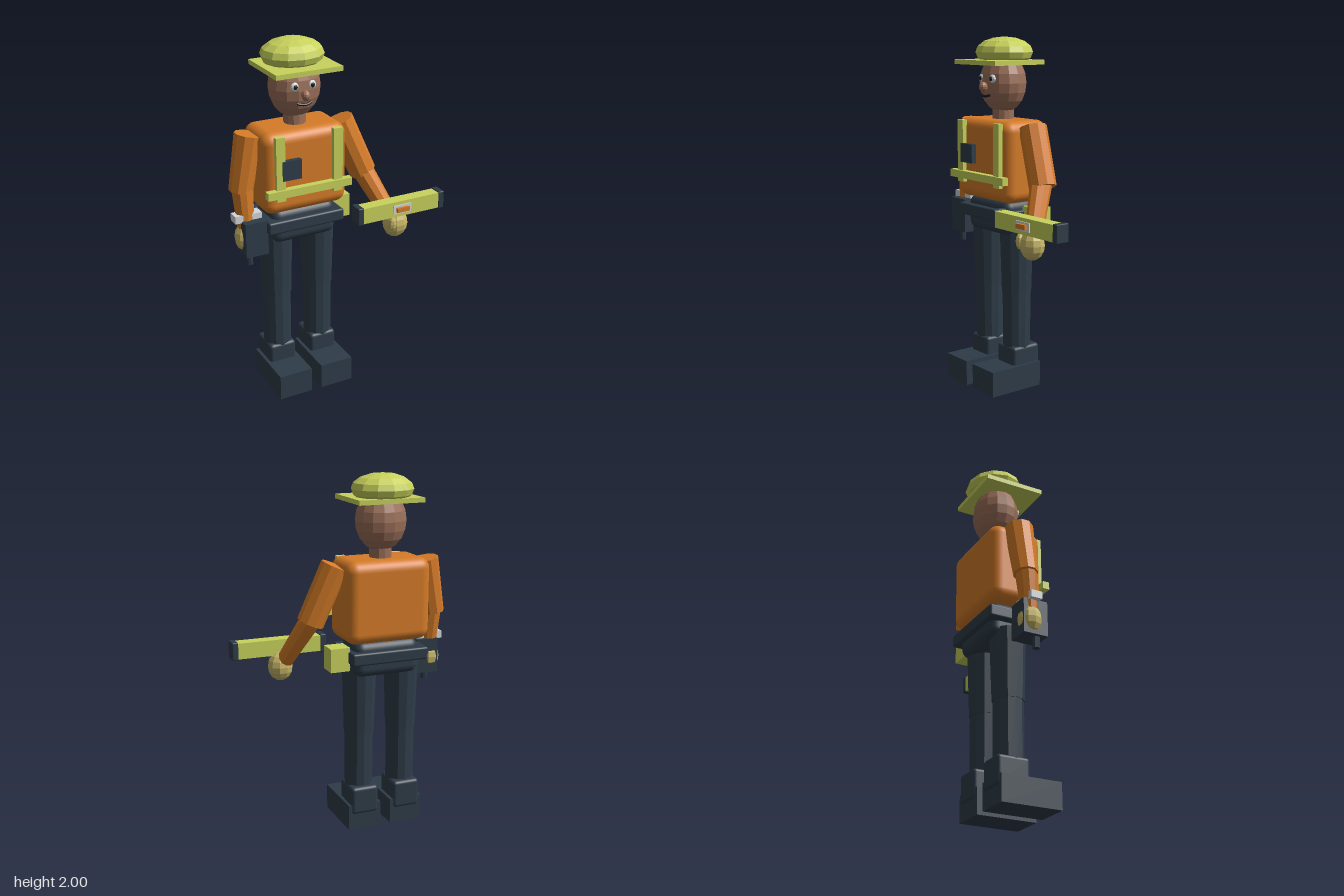
import * as THREE from 'three';
import { RoundedBoxGeometry } from 'three/addons/geometries/RoundedBoxGeometry.js';

export function createModel() {
  const model = new THREE.Group();
  model.name = 'builder';

  const material = (name, color, flatShading = true) => {
    const m = new THREE.MeshStandardMaterial({ color, flatShading });
    m.name = name;
    return m;
  };
  const orange = material('orange', 0xd67c28);
  const lime = material('lime', 0xc8d25c);
  const navy = material('navy', 0x2e3c48);
  const skin = material('skin', 0x9c705a);
  const glove = material('glove', 0xc8b768);
  const pale = material('paleGrey', 0xd4d8da);
  const black = material('black', 0x181c20);
  // Same orange and navy without facets would shift rounded boxes only slightly,
  // so rounded parts keep their own fine segments instead.

  const add = (name, geometry, mat, x = 0, y = 0, z = 0) => {
    const mesh = new THREE.Mesh(geometry, mat);
    mesh.name = name;
    mesh.position.set(x, y, z);
    model.add(mesh);
    return mesh;
  };

  // Box given by its [min, max] along each axis, optionally rounded
  const box = (name, mat, [x0, x1], [y0, y1], [z0, z1], radius = 0) => {
    const size = [x1 - x0, y1 - y0, z1 - z0];
    const geometry = radius
      ? new RoundedBoxGeometry(...size, 4, radius)
      : new THREE.BoxGeometry(...size);
    return add(name, geometry, mat, (x0 + x1) / 2, (y0 + y1) / 2, (z0 + z1) / 2);
  };

  const ball = (name, mat, [x, y, z], [rx, ry, rz], sides = 12, rows = 8) =>
    add(name, new THREE.SphereGeometry(1, sides, rows).scale(rx, ry, rz), mat, x, y, z);

  // Tapered limb from point a to point b
  const limb = (name, mat, a, b, ra, rb, sides = 10) => {
    const start = new THREE.Vector3(...a);
    const end = new THREE.Vector3(...b);
    const axis = start.clone().sub(end);
    const mesh = add(name, new THREE.CylinderGeometry(ra, rb, axis.length(), sides), mat);
    mesh.position.copy(start).add(end).multiplyScalar(0.5);
    mesh.quaternion.setFromUnitVectors(new THREE.Vector3(0, 1, 0), axis.normalize());
    return mesh;
  };

  const cx = -0.2; // body centre line
  const cz = -0.065;

  // Legs and boots
  for (const [side, x] of [['right', -0.333], ['left', -0.077]]) {
    limb(side + 'Thigh', navy, [x, 0.95, cz], [x, 0.56, cz], 0.097, 0.085, 12);
    limb(side + 'Shin', navy, [x, 0.6, cz], [x, 0.15, cz], 0.081, 0.079, 12);
    box(side + 'BootCuff', navy, [x - 0.08, x + 0.08], [0.09, 0.25], [-0.17, 0.015], 0.02);
    box(side + 'Boot', navy, [x - 0.098, x + 0.098], [0, 0.145], [-0.16, 0.18]);
  }

  // Hips, belt and torso
  box('hips', navy, [-0.39, -0.01], [0.9, 1.1], [-0.19, 0.055], 0.05);
  box('belt', navy, [-0.43, 0.02], [0.98, 1.05], [-0.217, 0.085], 0.012);
  box('torso', orange, [-0.448, 0.042], [1.09, 1.545], [-0.21, 0.09], 0.06);

  // Reflective harness and chest radio
  for (const dx of [-0.168, 0.168])
    box('vestStrap', lime, [cx + dx - 0.026, cx + dx + 0.026], [1.18, 1.535], [0.085, 0.115]);
  box('vestBand', lime, [-0.45, 0.045], [1.203, 1.246], [0.09, 0.128]);
  box('chestRadio', navy, [-0.36, -0.25], [1.295, 1.402], [0.085, 0.12]);
  box('radioButton', navy, [-0.376, -0.36], [1.37, 1.4], [0.09, 0.11]);

  // Right arm, wristwatch and hand
  limb('rightUpperArm', orange, [-0.468, 1.52, cz], [-0.527, 1.21, -0.06], 0.078, 0.066);
  limb('rightForearm', orange, [-0.52, 1.24, -0.055], [-0.515, 1.0, -0.035], 0.06, 0.045);
  ball('rightHand', glove, [-0.515, 0.95, -0.035], [0.066, 0.083, 0.065], 10, 8);
  box('wristwatch', pale, [-0.588, -0.435], [1.05, 1.092], [-0.065, 0.0]);

  // Left arm and hand
  limb('leftUpperArm', orange, [0.066, 1.515, cz], [0.197, 1.2, -0.03], 0.078, 0.076);
  limb('leftForearm', orange, [0.18, 1.24, -0.035], [0.295, 0.965, 0.115], 0.062, 0.048);
  ball('leftHand', glove, [0.315, 0.928, 0.14], [0.073, 0.085, 0.066], 10, 8);
  ball('leftThumb', glove, [0.27, 0.945, 0.185], [0.024, 0.045, 0.024], 8, 6);

  // Tool pouch and tape measure on the belt
  box('toolPouch', navy, [-0.552, -0.422], [0.862, 1.058], [-0.09, 0.05]);
  limb('toolHandle', navy, [-0.515, 0.88, 0], [-0.515, 0.8, 0], 0.02, 0.02, 8);
  box('tapeMeasure', lime, [0.01, 0.122], [0.94, 1.072], [-0.147, -0.04]);

  // Spirit level
  box('levelBeam', lime, [0.05, 0.585], [0.99, 1.08], [0.132, 0.204]);
  for (const x of [0.043, 0.558])
    box('levelEndCap', navy, [x, x + 0.035], [0.985, 1.086], [0.128, 0.208], 0.006);
  box('levelWindow', pale, [0.262, 0.376], [1.01, 1.06], [0.202, 0.21]);
  box('levelVial', orange, [0.28, 0.357], [1.022, 1.048], [0.205, 0.225]);

  // Neck and head
  limb('neck', skin, [cx, 1.64, cz], [cx, 1.53, cz], 0.061, 0.061, 12);
  ball('head', skin, [cx, 1.745, cz], [0.143, 0.17, 0.125], 14, 10);

  // Face
  for (const dx of [-0.049, 0.049]) {
    ball('eye', pale, [cx + dx, 1.771, 0.045], [0.024, 0.024, 0.014], 12, 8);
    ball('pupil', black, [cx + dx, 1.771, 0.057], [0.012, 0.013, 0.006], 10, 6);
  }
  ball('nose', skin, [cx, 1.726, 0.073], [0.024, 0.028, 0.026], 10, 8);
  const smile = new THREE.QuadraticBezierCurve3(
    new THREE.Vector3(-0.042, 0.007, 0),
    new THREE.Vector3(0, -0.012, 0.016),
    new THREE.Vector3(0.042, 0.007, 0));
  add('mouth', new THREE.TubeGeometry(smile, 8, 0.007, 6), black, cx, 1.676, 0.055);

  // Hard hat with square brim and small rivets
  ball('hatDome', lime, [-0.203, 1.915, -0.077], [0.174, 0.085, 0.158], 12, 8);
  box('hatBrim', lime, [-0.392, -0.014], [1.847, 1.873], [-0.212, 0.132]);
  for (const dx of [-0.067, 0.067]) {
    ball('frontRivet', lime, [cx + dx, 1.968, 0.005], [0.014, 0.012, 0.016], 6, 4);
    ball('backRivet', lime, [cx + dx, 1.968, -0.15], [0.006, 0.008, 0.006], 6, 4);
  }

  // Rounded parts are shaded smoothly, everything else in facets
  const smooth = new Map();
  model.traverse((o) => {
    if (!(o.geometry instanceof RoundedBoxGeometry)) return;
    if (!smooth.has(o.material)) {
      smooth.set(o.material, material(o.material.name + 'Smooth', o.material.color.getHex(), false));
    }
    o.material = smooth.get(o.material);
  });

  return model;
}
